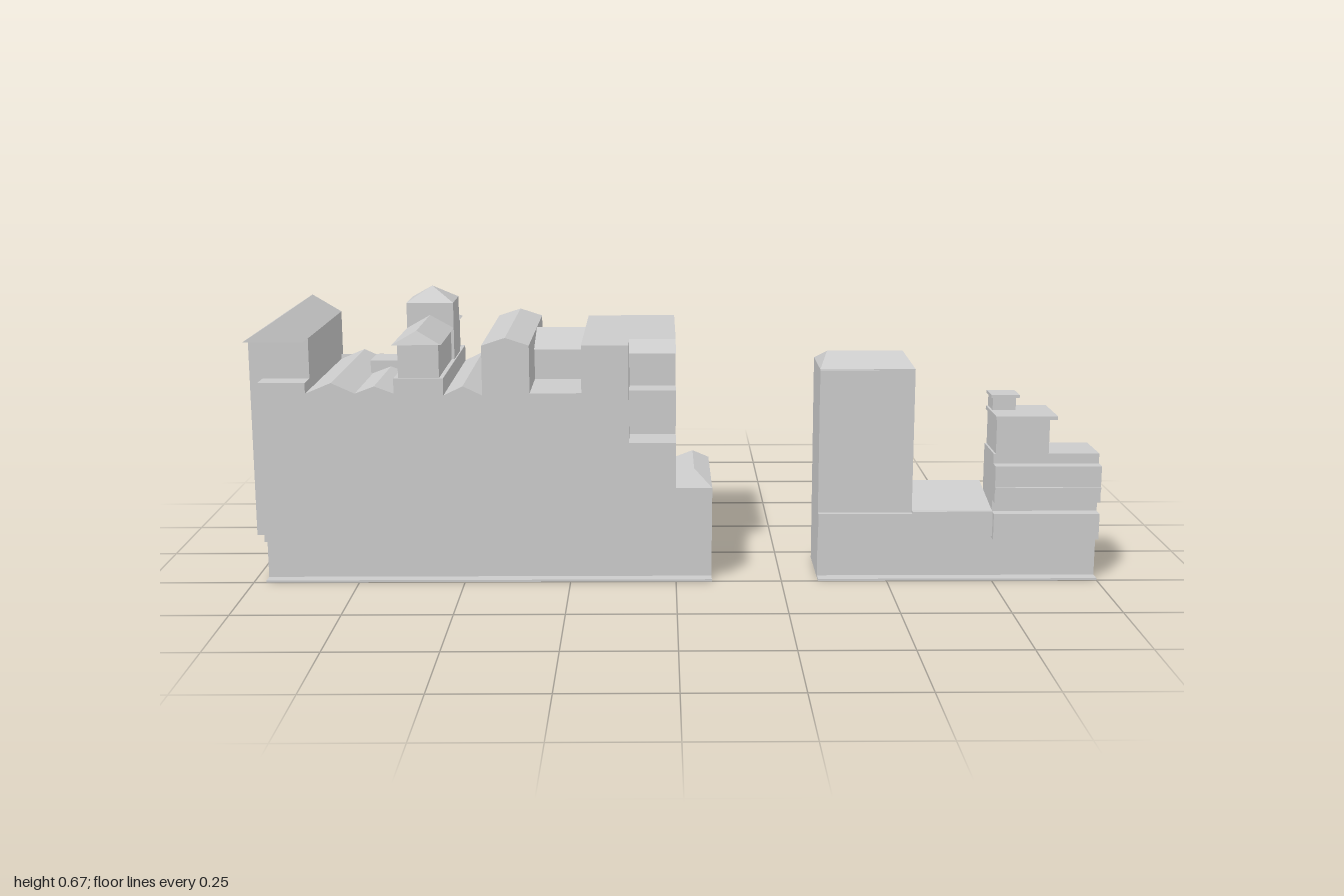
import * as THREE from 'three';
import { ConvexGeometry } from 'three/addons/geometries/ConvexGeometry.js';

const mat = new THREE.MeshStandardMaterial({ color: 0xcccccc, flatShading: true, side: THREE.DoubleSide });

// Remove the downward facing triangles so a shell is open underneath
function openBottom(geo) {
  const g = geo.index ? geo.toNonIndexed() : geo;
  const p = g.attributes.position, kept = [];
  const a = new THREE.Vector3(), b = new THREE.Vector3(), c = new THREE.Vector3();
  for (let i = 0; i < p.count; i += 3) {
    [a, b, c].forEach((v, k) => v.fromBufferAttribute(p, i + k));
    const n = new THREE.Triangle(a, b, c).getNormal(new THREE.Vector3());
    if (n.y > -0.9) kept.push(...a, ...b, ...c);
  }
  const out = new THREE.BufferGeometry();
  out.setAttribute('position', new THREE.Float32BufferAttribute(kept, 3));
  out.computeVertexNormals();
  return out;
}

function boxGeo(x0, x1, y0, y1, z0, z1) {
  return new THREE.BoxGeometry(x1 - x0, y1 - y0, z1 - z0)
    .translate((x0 + x1) / 2, (y0 + y1) / 2, (z0 + z1) / 2);
}

// Pitched roof: rectangular eaves with a ridge between two [x, z] points
function roofGeo(x0, x1, z0, z1, eaves, top, ...ridge) {
  const v = [[x0, z0], [x1, z0], [x1, z1], [x0, z1]].map(([x, z]) => new THREE.Vector3(x, eaves, z));
  ridge.forEach(([x, z]) => v.push(new THREE.Vector3(x, top, z)));
  return new ConvexGeometry(v);
}

export function createModel() {
  const root = new THREE.Group();
  const group = (name) => {
    const g = new THREE.Group();
    g.name = name;
    root.add(g);
    return g;
  };
  const add = (parent, name, geo) => {
    const m = new THREE.Mesh(geo, mat);
    m.name = name;
    parent.add(m);
  };
  const box = (parent, name, ...d) => add(parent, name, boxGeo(...d));
  const shell = (parent, name, ...d) => add(parent, name, openBottom(boxGeo(...d)));
  const roof = (parent, name, ...d) => add(parent, name, roofGeo(...d));

  // Long terrace: stepped skyline profile run through the whole depth
  const terrace = group('longTerrace');
  const skyline = [
    [-0.97, 0.1], [-0.11, 0.1], [-0.11, 0.567], [-0.22, 0.567], [-0.22, 0.455], [-0.34, 0.455],
    [-0.34, 0.567], [-0.395, 0.585], [-0.45, 0.567], [-0.45, 0.45], [-0.495, 0.472], [-0.54, 0.45],
    [-0.54, 0.49], [-0.655, 0.49], [-0.655, 0.455], [-0.7, 0.472], [-0.745, 0.455],
    [-0.8, 0.48], [-0.86, 0.455], [-0.86, 0.48], [-0.97, 0.48],
  ];
  const shape = new THREE.Shape(skyline.map(([x, y]) => new THREE.Vector2(x, y)));
  const body = new THREE.ExtrudeGeometry(shape, { depth: 0.485, bevelEnabled: false }).translate(0, 0, -0.235);
  add(terrace, 'terraceBody', openBottom(body));

  // Recessed ground floor walls, overhang and pavement
  for (const z of [-0.235, 0.22])
    add(terrace, 'groundFloorWall', new THREE.PlaneGeometry(0.97, 0.1)
      .rotateY(z < 0 ? Math.PI : 0).translate(-0.485, 0.05, z));
  for (const x of [-0.97, 0])
    add(terrace, 'groundFloorEnd', new THREE.PlaneGeometry(0.455, 0.1)
      .rotateY(x < 0 ? -Math.PI / 2 : Math.PI / 2).translate(x, 0.05, -0.0075));
  box(terrace, 'overhang', -0.97, 0, 0.1, 0.104, 0.22, 0.25);
  box(terrace, 'pavement', -0.97, 0.085, 0, 0.005, 0.22, 0.25);
  box(terrace, 'cellarFloor', -0.86, -0.75, 0, 0.004, -0.235, 0.22);

  // Corner tower with notch, bay, balcony and hood
  const corner = group('cornerHouse');
  shell(corner, 'cornerBody', -0.11, 0, 0.1, 0.567, -0.235, 0.155);
  shell(corner, 'cornerFront', -0.11, 0, 0.1, 0.33, 0.155, 0.25);
  box(corner, 'balcony', -0.11, 0, 0.33, 0.338, 0.155, 0.257);
  box(corner, 'bay', -0.11, 0, 0.37, 0.455, 0.155, 0.22);
  roof(corner, 'hood', -0.11, 0, 0.155, 0.19, 0.538, 0.567, [-0.11, 0.155], [0, 0.155]);

  // End wing with hipped back, slightly wider than the ground floor
  const wing = group('endWing');
  box(wing, 'wingUpper', -1, -0.86, 0.1, 0.575, -0.258, 0.19);
  roof(wing, 'wingRoof', -1, -0.86, -0.258, 0.248, 0.575, 0.624, [-0.925, -0.22], [-0.925, 0.246]);
  box(wing, 'backProjection', -0.97, -0.75, 0, 0.455, -0.258, -0.235);
  roof(wing, 'backProjectionRoof', -0.86, -0.75, -0.258, -0.23, 0.455, 0.468, [-0.86, -0.232], [-0.75, -0.232]);

  // Raised hipped roof and lookout tower
  const lookout = group('lookout');
  box(lookout, 'raisedWalls', -0.645, -0.55, 0.48, 0.568, -0.215, 0.24);
  roof(lookout, 'raisedRoof', -0.657, -0.543, -0.22, 0.248, 0.568, 0.6, [-0.6, -0.203], [-0.6, 0.235]);
  box(lookout, 'tower', -0.657, -0.543, 0.48, 0.63, -0.137, -0.017);
  roof(lookout, 'towerRoof', -0.657, -0.543, -0.137, -0.017, 0.63, 0.665, [-0.6, -0.077]);
  box(lookout, 'linkBlock', -0.75, -0.65, 0.44, 0.487, -0.115, -0.02);

  // Cross gable in the gap between the two tall strips
  const cross = group('crossGable');
  box(cross, 'crossWalls', -0.34, -0.22, 0.45, 0.53, -0.13, 0.065);
  roof(cross, 'crossRoof', -0.34, -0.22, -0.147, 0.08, 0.53, 0.567, [-0.34, -0.034], [-0.22, -0.034]);

  // Low annex at the end of the terrace
  const annex = group('annex');
  shell(annex, 'annexBody', 0, 0.085, 0, 0.228, -0.08, 0.22);
  box(annex, 'annexBay', 0, 0.085, 0.1, 0.228, 0.22, 0.25);
  roof(annex, 'annexRoof', 0, 0.085, -0.08, 0.25, 0.228, 0.245, [0.045, -0.08], [0.045, 0.12]);

  // Separate house: tall tower, low sloping middle and stepped end
  const house = group('separateHouse');
  box(house, 'housePavement', 0.337, 1, 0, 0.005, 0.22, 0.25);
  box(house, 'houseTower', 0.337, 0.56, 0, 0.505, 0.05, 0.22);
  roof(house, 'houseTowerRoof', 0.337, 0.56, 0.05, 0.22, 0.505, 0.535, [0.36, 0.135], [0.54, 0.135]);
  box(house, 'houseTowerBay', 0.337, 0.475, 0.42, 0.502, 0.21, 0.224);
  box(house, 'middle', 0.56, 0.75, 0, 0.165, 0.05, 0.22);
  roof(house, 'middleRoof', 0.56, 0.75, 0.05, 0.22, 0.165, 0.197, [0.56, 0.05], [0.75, 0.05]);
  box(house, 'towerBand', 0.337, 0.56, 0.1, 0.16, 0.22, 0.235);
  box(house, 'middleBand', 0.56, 0.75, 0.105, 0.165, 0.22, 0.235);
  box(house, 'endBody', 0.75, 1, 0, 0.302, 0.1, 0.22);
  box(house, 'lowerBay', 0.75, 1, 0.1, 0.163, 0.22, 0.25);
  box(house, 'upperBay', 0.75, 1, 0.19, 0.278, 0.22, 0.25);
  box(house, 'upperBayLedge', 0.75, 1, 0.223, 0.228, 0.22, 0.256);
  box(house, 'endUpper', 0.755, 0.88, 0.3, 0.386, 0.1, 0.22);
  box(house, 'endUpperCap', 0.75, 0.895, 0.386, 0.395, 0.1, 0.235);
  box(house, 'chimney', 0.755, 0.81, 0.395, 0.426, 0.1, 0.16);
  box(house, 'chimneyCap', 0.75, 0.817, 0.426, 0.433, 0.1, 0.168);

  return root;
}
